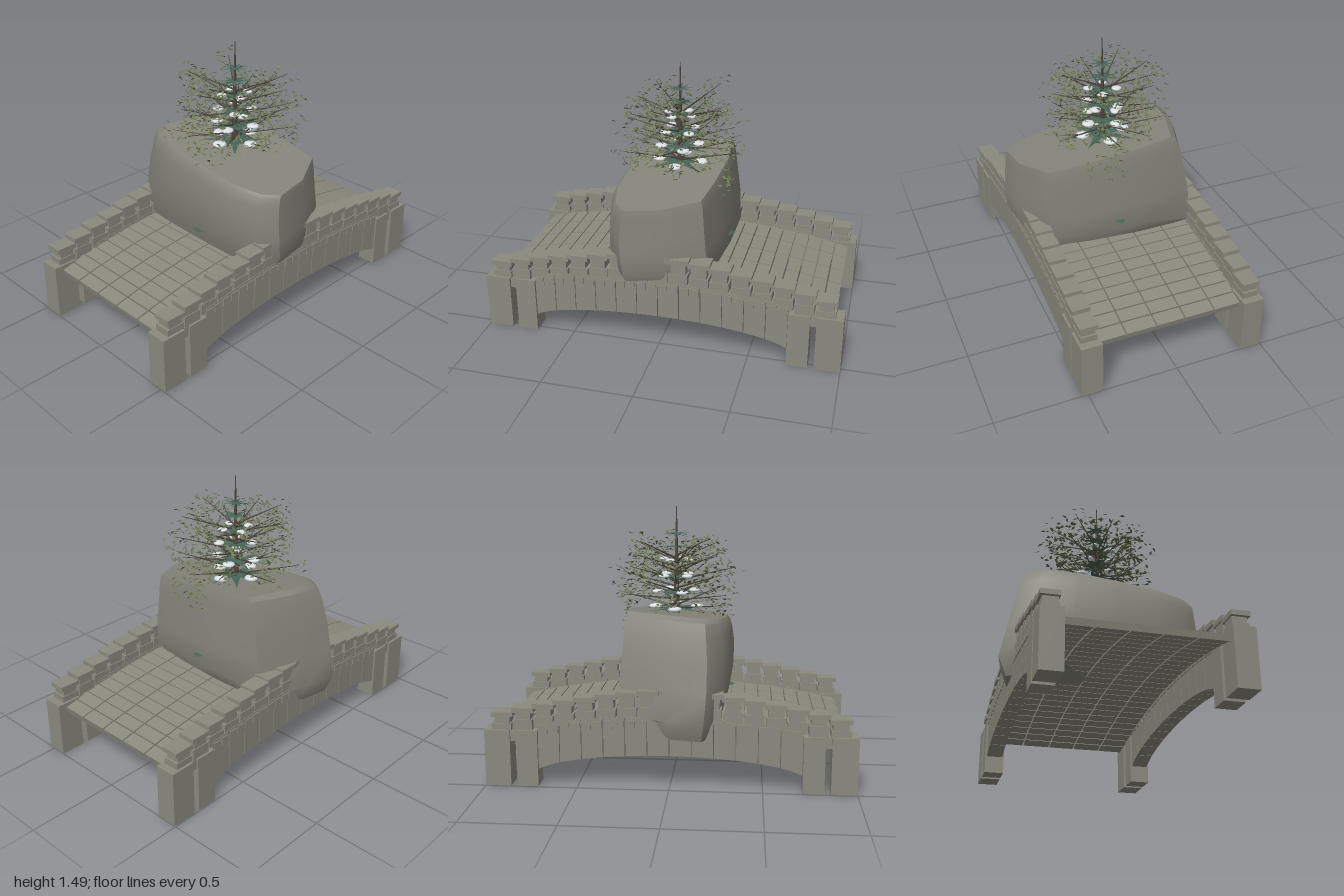
import * as THREE from 'three';
import { mergeGeometries, toCreasedNormals } from 'three/addons/utils/BufferGeometryUtils.js';

const mat = (name, color, side = THREE.FrontSide) => {
  const m = new THREE.MeshStandardMaterial({ color, side });
  m.name = name;
  return m;
};

export function createModel() {
  const stone = mat('stone', 0x8b8a7e);
  const rockGrey = mat('rock grey', 0x85847a);
  const bark = mat('bark', 0x51483e);
  const leafGreen = mat('leaf green', 0x66714a, THREE.DoubleSide);
  const needleGreen = mat('needle green', 0x47645a);
  const snowWhite = mat('snow white', 0xe2e6ec);

  const model = new THREE.Group();
  model.name = 'archedBridgeWithRock';
  const add = (name, geometry, material) => {
    const m = new THREE.Mesh(geometry, material);
    m.name = name;
    model.add(m);
  };

  let seed = 7;
  const rand = () => {
    seed = (seed * 16807) % 2147483647;
    return seed / 2147483647;
  };
  const spread = (s) => (rand() - 0.5) * 2 * s;
  const box = (w, h, d, x, y, z, tilt = 0) =>
    new THREE.BoxGeometry(w, h, d).rotateX(tilt).translate(x, y, z);

  // Deck: rows of paving slabs following a shallow arch
  const deckY = (z) => 0.39 - 0.105 * (z / 0.95) ** 2;
  const columns = [-0.388, -0.23, -0.06, 0.1, 0.27, 0.425];
  const rows = 24, pitch = 1.9 / rows;
  const slabs = [];
  for (let r = 0; r < rows; r++) {
    const z = -0.95 + (r + 0.5) * pitch;
    const tilt = Math.atan(2 * 0.105 * z / 0.95 ** 2);
    for (let c = 0; c < 5; c++) {
      slabs.push(box(columns[c + 1] - columns[c] - 0.008, 0.035, pitch - 0.006,
        (columns[c] + columns[c + 1]) / 2, deckY(z) - 0.0175, z, tilt));
    }
  }
  add('deckSlabs', mergeGeometries(slabs), stone);

  // Side walls: arched wall blocks, posts, dentils and stepped parapet
  const wallTop = (z) => 0.4 - 0.09 * (z / 0.95) ** 2;
  const archY = (z) => 0.06 + 0.128 * Math.sqrt(Math.max(0, 1 - (z / 0.74) ** 2));
  const capY = (z) => 0.55 - 0.14 * (Math.abs(z) / 0.9) ** 1.5;
  const buildSide = (cx, name) => {
    const wall = [], dentils = [], posts = [], parapet = [], caps = [];
    const blocks = 12, len = 1.42 / blocks;
    for (let i = 0; i < blocks; i++) {
      const z0 = -0.71 + i * len + 0.002, z1 = z0 + len - 0.004;
      const s = new THREE.Shape();
      for (let k = 0; k <= 4; k++) {
        const z = z0 + (z1 - z0) * k / 4;
        if (k) s.lineTo(z, archY(z));
        else s.moveTo(z, archY(z));
      }
      s.lineTo(z1, wallTop(z1));
      s.lineTo(z0, wallTop(z0));
      wall.push(new THREE.ExtrudeGeometry(s, { depth: 0.094, bevelEnabled: false })
        .translate(0, 0, -0.047).rotateY(-Math.PI / 2).translate(cx, 0, 0));
      // dentils under the parapet
      for (const f of [0.25, 0.75]) {
        const z = z0 + (z1 - z0) * f;
        dentils.push(box(0.104, 0.045, len * 0.4, cx, wallTop(z) - 0.035, z));
      }
    }
    for (const s of [-1, 1]) {
      posts.push(box(0.116, 0.312, 0.14, cx, 0.156, s * 0.93));
      posts.push(box(0.112, 0.312, 0.115, cx, 0.156, s * 0.768));
      posts.push(box(0.09, 0.06, 0.05, cx, 0.28, s * 0.84));
    }
    const n = 17, step = 1.92 / n;
    for (let i = 0; i < n; i++) {
      const z = -0.96 + (i + 0.5) * step, top = capY(z), base = wallTop(z) - 0.03;
      const mid = (base + top) / 2;
      parapet.push(box(0.088, mid - base - 0.004, step - 0.008, cx, (base + mid) / 2, z + spread(0.003)));
      parapet.push(box(0.078, top - mid - 0.02, step - 0.03, cx, (mid + top - 0.024) / 2, z));
      caps.push(box(0.098, 0.026, step + 0.006, cx + spread(0.003), top - 0.013, z, spread(0.03)));
    }
    add(name + 'Wall', mergeGeometries(wall), stone);
    add(name + 'Dentils', mergeGeometries(dentils), stone);
    add(name + 'Posts', mergeGeometries(posts), stone);
    add(name + 'Parapet', mergeGeometries(parapet), stone);
    add(name + 'Caps', mergeGeometries(caps), stone);
  };
  buildSide(-0.437, 'right');
  buildSide(0.476, 'left');

  // Boulder: one footprint lofted through scaled levels to a sloping top
  const foot = [[-0.56, 0.2], [-0.44, 0.28], [-0.2, 0.32], [0.05, 0.33], [0.3, 0.33], [0.47, 0.28],
    [0.555, 0.2], [0.535, -0.02], [0.43, -0.25], [0.2, -0.285], [-0.1, -0.305], [-0.42, -0.28], [-0.52, -0.02]];
  // height share, left scale, right scale, front scale, back scale
  const levels = [[0, 0.92, 0.93, 0.86, 0.9], [0.16, 1, 0.99, 0.93, 1], [0.4, 0.94, 1, 0.99, 0.98],
    [0.65, 0.88, 0.985, 1, 0.93], [0.85, 0.82, 0.975, 0.96, 0.9], [0.96, 0.77, 0.97, 0.92, 0.87], [1, 0.7, 0.965, 0.87, 0.85]];
  const pos = [], idx = [], n = foot.length;
  const put = (x, z, t) => {
    const base = x < -0.4 ? 0.28 : 0.365;
    pos.push(x, base + t * (0.885 - 0.12 * x - 0.08 * z - base), z);
  };
  for (const [t, l, r, f, b] of levels)
    for (const [x, z] of foot) put(x * (x < 0 ? l : r), z * (z > 0 ? f : b), t);
  put(0, 0, 0);
  put(0, 0, 1);
  const last = (levels.length - 1) * n, bottom = levels.length * n;
  for (let i = 0; i < n; i++) {
    const j = (i + 1) % n;
    for (let l = 0; l < last; l += n) idx.push(l + i, l + j, l + n + j, l + i, l + n + j, l + n + i);
    idx.push(bottom, j, i, bottom + 1, last + i, last + j);
  }
  const boulder = new THREE.BufferGeometry();
  boulder.setAttribute('position', new THREE.Float32BufferAttribute(pos, 3));
  boulder.setIndex(idx);
  add('boulder', toCreasedNormals(boulder, 0.62), rockGrey);

  // Tree: tapered trunk, rising branches and scattered leaves
  const tx = 0.02;
  const wood = [new THREE.CylinderGeometry(0.002, 0.02, 0.64, 8).translate(tx, 1.165, 0)];
  const leaf = new THREE.BufferGeometry();
  leaf.setAttribute('position', new THREE.Float32BufferAttribute(
    [-0.015, 0, 0, 0, 0.003, 0.008, 0.017, 0, 0, 0, 0.003, -0.008], 3));
  leaf.setIndex([0, 1, 2, 0, 2, 3]);
  leaf.computeVertexNormals();
  const leaves = [];
  const addLeaf = (x, y, z) => leaves.push(leaf.clone().rotateX(spread(0.8)).rotateZ(spread(0.7))
    .rotateY(rand() * 6.28).translate(x, y, z));
  const up = new THREE.Vector3(0, 1, 0);
  const count = 36;
  for (let i = 0; i < count; i++) {
    const a = i * 2.4, h = i / (count - 1);
    const reach = 0.31 - 0.05 * h + spread(0.05);
    const from = new THREE.Vector3(tx, 0.9 + 0.31 * h, 0);
    const to = new THREE.Vector3(tx + Math.cos(a) * reach, 0.96 + 0.36 * h + spread(0.03), Math.sin(a) * reach);
    const dir = to.clone().sub(from);
    wood.push(new THREE.CylinderGeometry(0.0015, 0.006, dir.length(), 5)
      .applyQuaternion(new THREE.Quaternion().setFromUnitVectors(up, dir.clone().normalize()))
      .translate(...from.clone().addScaledVector(dir, 0.5).toArray()));
    for (let k = 0; k < 25; k++) {
      const p = from.clone().addScaledVector(dir, 0.5 + 0.58 * rand());
      addLeaf(p.x + spread(0.06), p.y + spread(0.05), p.z + spread(0.06));
    }
  }
  // leaves trailing over the back and front edges of the boulder
  for (let k = 0; k < 36; k++) addLeaf(0.1 + spread(0.12), 0.78 + rand() * 0.16, -0.29 + spread(0.025));
  for (let k = 0; k < 24; k++) addLeaf(0.06 + spread(0.12), 0.86 + rand() * 0.08, 0.27 + spread(0.06));
  add('trunkAndBranches', mergeGeometries(wood), bark);
  add('leaves', mergeGeometries(leaves), leafGreen);

  // Needle boughs in shrinking tiers, with snow resting on them
  const boughs = [], snow = [];
  [[0.91, 0.2], [1.0, 0.18], [1.09, 0.155], [1.18, 0.13], [1.26, 0.1], [1.335, 0.08]].forEach(([y, r], t) => {
    for (let i = 0; i < 8; i++) {
      const a = (i + t * 0.5) * Math.PI / 4;
      boughs.push(new THREE.ConeGeometry(r * 0.17, r, 4).rotateZ(-Math.PI / 2)
        .translate(r / 2, 0, 0).scale(1, 0.22, 1).rotateY(a).translate(tx, y, 0));
      if (t < 4 && i % 2 === 0) {
        snow.push(new THREE.SphereGeometry(0.04 - t * 0.004, 10, 6).scale(1, 0.35, 1)
          .translate(tx + Math.cos(a) * r * 0.6, y + 0.008, -Math.sin(a) * r * 0.6));
      }
    }
  });
  // low bough tips poking out of the boulder
  boughs.push(new THREE.ConeGeometry(0.05, 0.04, 4).rotateX(Math.PI / 2).scale(1, 0.1, 1).translate(0.05, 0.46, 0.325));
  boughs.push(new THREE.ConeGeometry(0.04, 0.04, 4).rotateX(-Math.PI / 2).scale(1, 0.15, 1).translate(0.03, 0.5, -0.31));
  add('needleBoughs', toCreasedNormals(mergeGeometries(boughs), 0.3), needleGreen);
  add('snowPatches', mergeGeometries(snow), snowWhite);

  return model;
}
